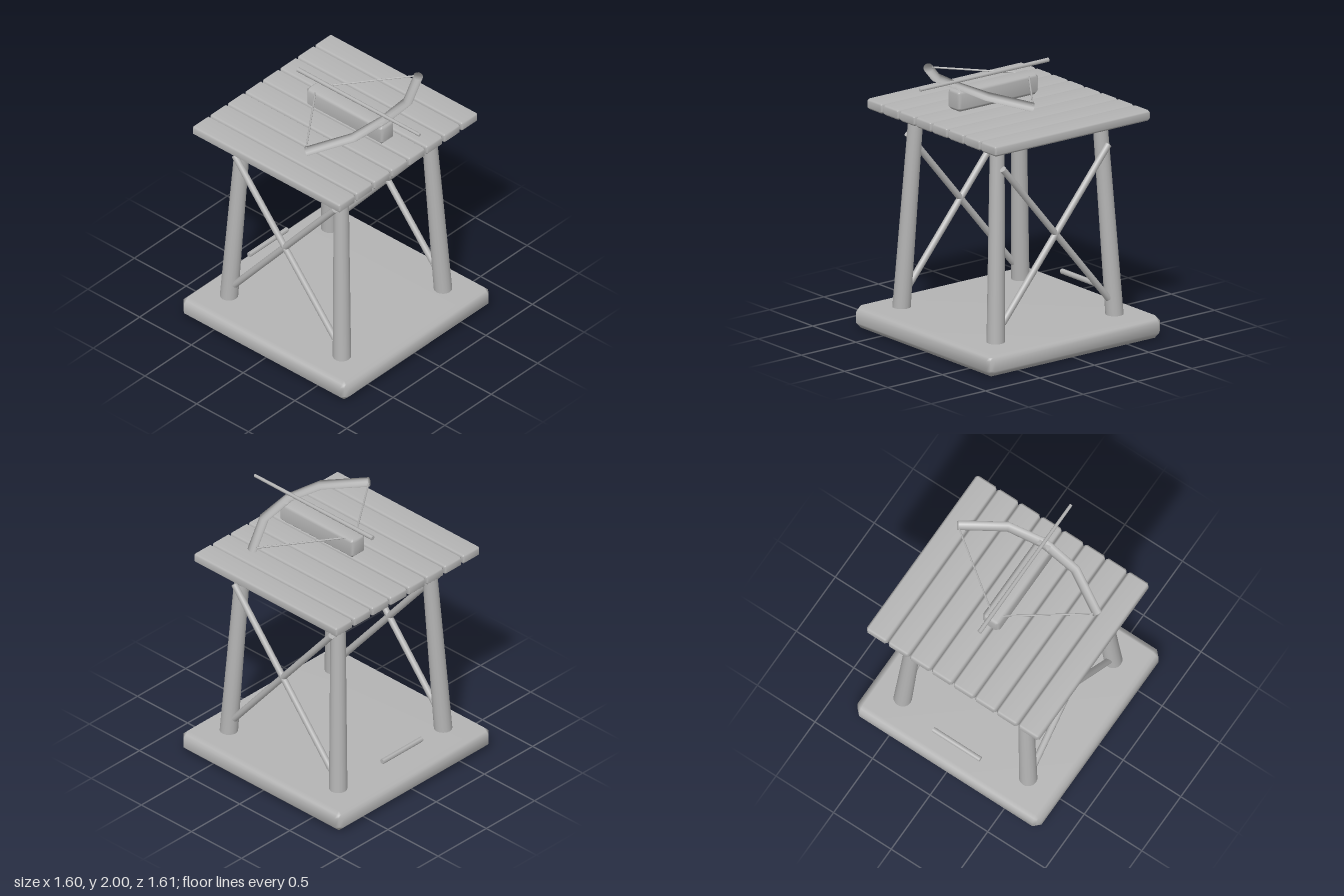
import * as THREE from 'three';
import { mergeVertices } from 'three/addons/utils/BufferGeometryUtils.js';

const grey = new THREE.MeshStandardMaterial({ color: 0xb4b4b4 });
grey.name = 'plain grey';

function add(parent, name, geometry) {
  const mesh = new THREE.Mesh(geometry, grey);
  mesh.name = name;
  parent.add(mesh);
  return mesh;
}

// Box with every edge cut by a single soft-shaded chamfer
function chamferBox(w, h, d, bevel) {
  const geo = new THREE.BoxGeometry(w, h, d, 3, 3, 3);
  const half = [w / 2, h / 2, d / 2];
  const p = geo.attributes.position;
  for (let i = 0; i < p.count; i++) {
    const v = [p.getX(i), p.getY(i), p.getZ(i)];
    const outer = v.map((c, k) => Math.abs(c) > half[k] * 0.9);
    const n = outer.filter(Boolean).length;
    const cut = bevel * (n - 1) / n;
    p.setXYZ(i, ...v.map((c, k) => Math.sign(c) * (half[k] - (outer[k] ? cut : bevel))));
  }
  geo.deleteAttribute('normal');
  geo.deleteAttribute('uv');
  const smooth = mergeVertices(geo, 1e-4);
  smooth.computeVertexNormals();
  return smooth;
}

// Round bar from point a (radius ra) to point b (radius rb)
function bar(parent, name, a, b, ra, rb = ra, sides = 12) {
  const from = new THREE.Vector3(...a), to = new THREE.Vector3(...b);
  const dir = to.clone().sub(from);
  const mesh = add(parent, name, new THREE.CylinderGeometry(rb, ra, dir.length(), sides));
  mesh.position.copy(from).add(to).multiplyScalar(0.5);
  mesh.quaternion.setFromUnitVectors(new THREE.Vector3(0, 1, 0), dir.normalize());
  return mesh;
}

// Bent bow limb swept through elliptical sections: [x, y, z, width radius, height radius]
function bowGeometry(sections, sides) {
  const pts = sections.map(s => new THREE.Vector3(s[0], s[1], s[2]));
  const up = new THREE.Vector3(0, 1, 0);
  const pos = [], idx = [];
  sections.forEach((s, i) => {
    const tangent = pts[Math.min(i + 1, pts.length - 1)].clone().sub(pts[Math.max(i - 1, 0)]).normalize();
    const side = new THREE.Vector3().crossVectors(tangent, up).normalize();
    const lift = new THREE.Vector3().crossVectors(side, tangent);
    for (let j = 0; j < sides; j++) {
      const a = j / sides * Math.PI * 2;
      const v = pts[i].clone().addScaledVector(side, Math.cos(a) * s[3]).addScaledVector(lift, Math.sin(a) * s[4]);
      pos.push(v.x, v.y, v.z);
    }
  });
  for (let i = 0; i < sections.length - 1; i++) {
    for (let j = 0; j < sides; j++) {
      const a = i * sides + j, b = i * sides + (j + 1) % sides;
      idx.push(a, b, a + sides, b, b + sides, a + sides);
    }
  }
  // End caps
  const last = (sections.length - 1) * sides;
  for (let j = 1; j < sides - 1; j++) {
    idx.push(0, j + 1, j, last, last + j, last + j + 1);
  }
  const geo = new THREE.BufferGeometry();
  geo.setAttribute('position', new THREE.Float32BufferAttribute(pos, 3));
  geo.setIndex(idx);
  geo.computeVertexNormals();
  return geo;
}

export function createModel() {
  const model = new THREE.Group();
  model.name = 'crossbowTower';

  // Ground slab
  add(model, 'base', chamferBox(1.6, 0.17, 1.6, 0.048)).position.y = 0.085;

  // Leaning legs and crossed side braces
  const frame = new THREE.Group();
  frame.name = 'frame';
  model.add(frame);
  for (const sx of [-1, 1]) {
    for (const sz of [-1, 1]) {
      bar(frame, 'leg', [sx * 0.547, 0.12, sz * 0.548], [sx * 0.468, 1.65, sz * 0.47], 0.067, 0.054, 16);
      bar(frame, 'sideBrace', [sx * 0.551, 0.3, -sz * 0.485], [sx * 0.551, 1.46, sz * 0.485], 0.025, 0.025, 10);
    }
  }
  // Lowest rung at the back
  bar(frame, 'rung', [-0.205, 0.287, -0.657], [0.205, 0.287, -0.657], 0.02, 0.02, 6);

  // Plank platform
  const platform = new THREE.Group();
  platform.name = 'platform';
  model.add(platform);
  for (let i = 0; i < 8; i++) {
    add(platform, 'plank', chamferBox(0.18, 0.08, 1.43, 0.017)).position.set((i - 3.5) * 0.1885 - 0.002, 1.68, -0.007);
  }

  // Mounted crossbow
  const crossbow = new THREE.Group();
  crossbow.name = 'crossbow';
  model.add(crossbow);
  add(crossbow, 'stock', chamferBox(0.146, 0.16, 0.74, 0.026)).position.set(0, 1.85, 0.137);
  add(crossbow, 'bow', bowGeometry([
    [-0.605, 1.896, 0.252, 0.036, 0.034],
    [-0.293, 1.937, 0.432, 0.037, 0.033],
    [0, 1.953, 0.468, 0.04, 0.023],
    [0.293, 1.937, 0.432, 0.037, 0.033],
    [0.605, 1.896, 0.252, 0.036, 0.034],
  ], 12));
  for (const s of [-1, 1]) {
    bar(crossbow, 'bowString', [s * 0.58, 1.903, 0.232], [0, 1.917, -0.19], 0.007, 0.007, 6);
  }
  bar(crossbow, 'bolt', [0, 1.985, -0.368], [0, 1.985, 0.81], 0.017, 0.012, 8);

  return model;
}
